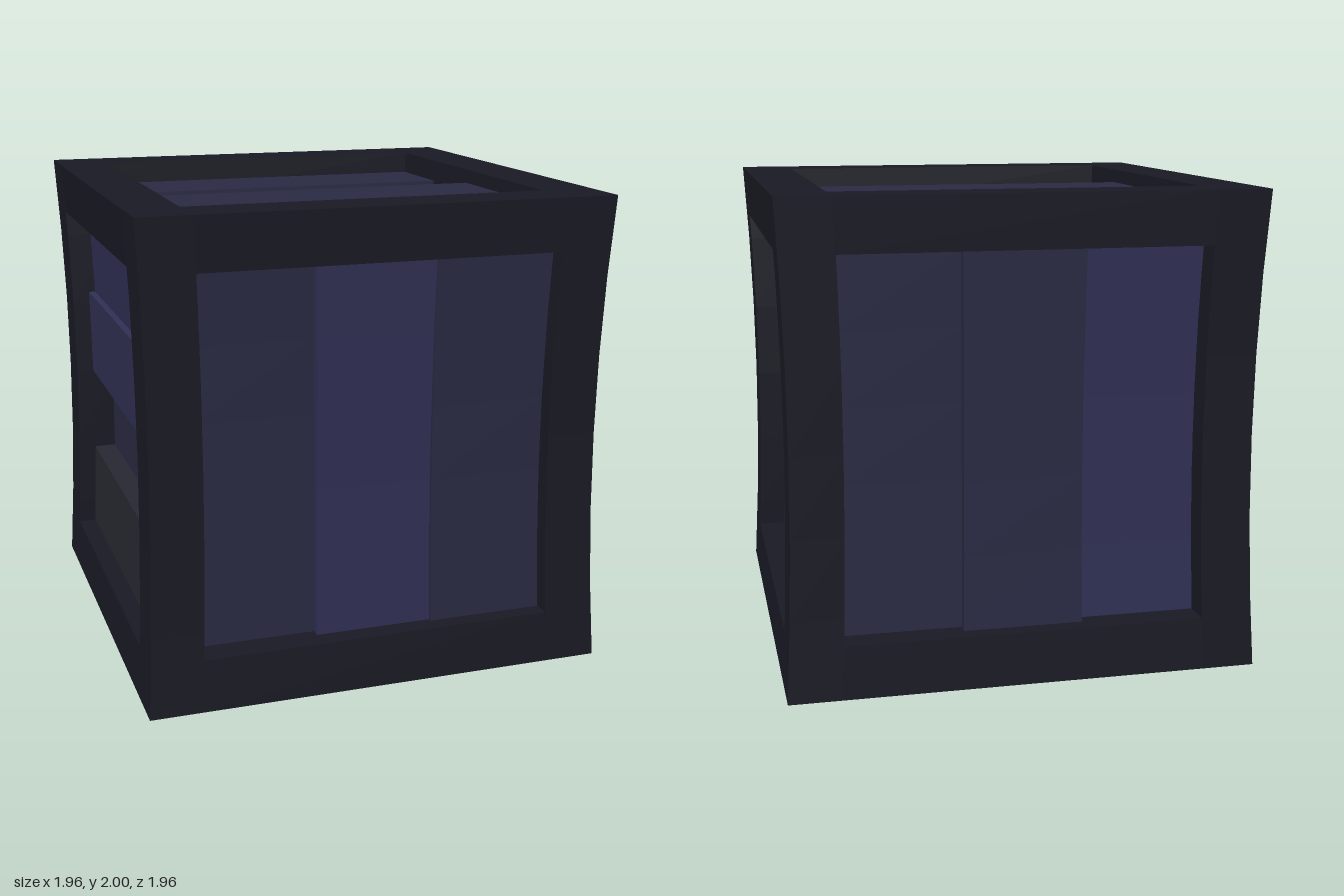
import * as THREE from 'three';

const HALF = 0.98;   // half width of the crate
const OPEN = 0.76;   // half width of each opening
const BEAM = HALF - OPEN;

const paint = (color) => new THREE.MeshStandardMaterial({ color, flatShading: true });
const frameMat = paint(0x1a1a25);
const bright = paint(0x303055);
const dim = paint(0x2a2a44);
const grey = paint(0x282832);

// Draw the waist of the crate in slightly
function pinch(geometry) {
  const p = geometry.attributes.position;
  for (let i = 0; i < p.count; i++) {
    const t = p.getY(i) - 1;
    const s = 1 - 0.033 * (1 - t * t);
    p.setX(i, p.getX(i) * s);
    p.setZ(i, p.getZ(i) * s);
  }
  geometry.computeVertexNormals();
  return geometry;
}

// Pinched box between two corners
function block(name, material, a, b) {
  const size = a.map((v, i) => Math.abs(b[i] - v));
  const g = new THREE.BoxGeometry(...size, 1, Math.max(1, Math.round(size[1] / 0.33)), 1);
  g.translate(...a.map((v, i) => (v + b[i]) / 2));
  const mesh = new THREE.Mesh(pinch(g), material);
  mesh.name = name;
  return mesh;
}

export function createModel() {
  const crate = new THREE.Group();
  crate.name = 'crate';

  // Frame: four corner posts, and rails round the top and bottom
  const frame = new THREE.Group();
  frame.name = 'frame';
  for (const s of [-1, 1]) {
    for (const t of [-1, 1]) {
      frame.add(block('cornerPost', frameMat, [s * OPEN, 0, t * OPEN], [s * HALF, 2, t * HALF]));
    }
    for (const y of [0, 2 - BEAM]) {
      frame.add(block('crossRail', frameMat, [-OPEN, y, s * OPEN], [OPEN, y + BEAM, s * HALF]));
      frame.add(block('sideRail', frameMat, [s * OPEN, y, -OPEN], [s * HALF, y + BEAM, OPEN]));
    }
  }
  crate.add(frame);

  // Panels of planks: each plank is [recess depth, material], listed from the
  // negative end; place(lo, hi, depth) gives the two corners of a plank
  const inner = OPEN - 0.02;
  const low = BEAM, high = 2 - BEAM;
  const panels = [
    ['frontPlank', [[0.13, dim], [0.09, bright], [0.075, dim]],
      (lo, hi, d) => [[lo, low, inner], [hi, high, HALF - d]]],
    ['backPlank', [[0.12, bright], [0.07, dim], [0.12, dim]],
      (lo, hi, d) => [[lo, low, -inner], [hi, high, d - HALF]]],
    ['rightPlank', [[0.075, dim], [0.165, grey], [0.125, grey]],
      (lo, hi, d) => [[inner, low, lo], [HALF - d, high, hi]]],
    ['leftPlank', [[0.08, grey], [0.18, dim], [0.08, bright], [0.11, bright]],
      (lo, hi, d) => [[-inner, 1 + lo * 0.78 / OPEN, -OPEN], [d - HALF, 1 + hi * 0.78 / OPEN, OPEN]]],
    ['topPlank', [[0.095, dim], [0.13, bright], [0.06, dim], [0.13, bright]],
      (lo, hi, d) => [[-OPEN, 1 + inner, lo], [OPEN, 2 - d, hi]]],
    ['bottomPlank', [[0.11, grey], [0.17, dim], [0.12, bright]],
      (lo, hi, d) => [[-OPEN, 1 - inner, lo], [OPEN, d, hi]]],
  ];
  for (const [name, planks, place] of panels) {
    const panel = new THREE.Group();
    panel.name = name.replace('Plank', 'Panel');
    const w = 2 * OPEN / planks.length;
    planks.forEach(([depth, material], i) => {
      const lo = -OPEN + i * w;
      panel.add(block(name, material, ...place(lo, lo + w, depth)));
    });
    crate.add(panel);
  }
  return crate;
}
